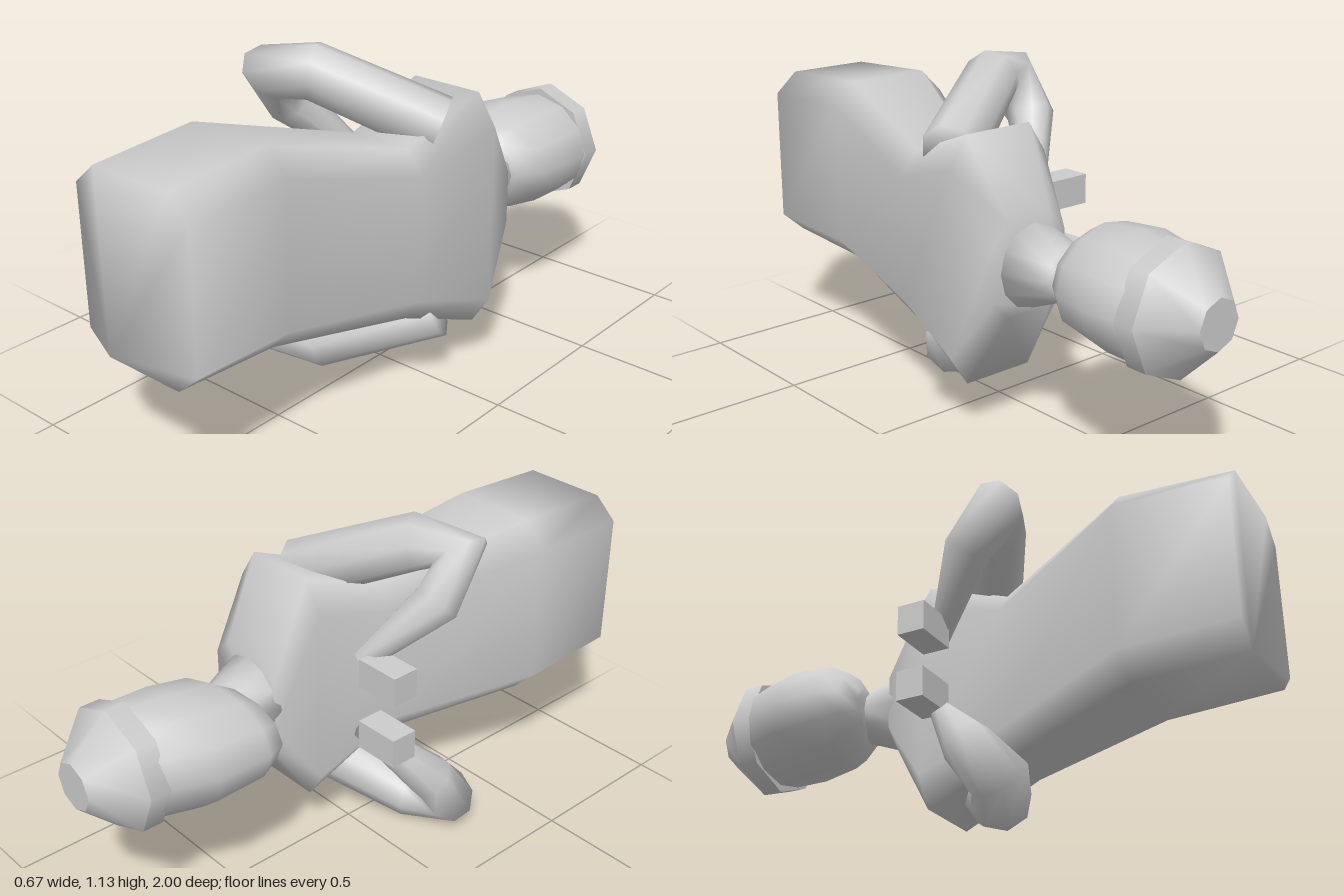
import * as THREE from 'three';

const MID_Y = 0.567; // mirror plane of the lying figure

// Closed, smooth surface through rings of equal point count
function loft(rings) {
  const n = rings[0].length, pos = [], idx = [];
  rings.forEach((r) => r.forEach((p) => pos.push(p.x, p.y, p.z)));
  for (let i = 0; i < rings.length - 1; i++) {
    for (let j = 0; j < n; j++) {
      const a = i * n + j, b = i * n + (j + 1) % n;
      idx.push(a, b, b + n, a, b + n, a + n);
    }
  }
  const last = (rings.length - 1) * n;
  for (let j = 1; j < n - 1; j++) {
    idx.push(0, j + 1, j);
    idx.push(last, last + j, last + j + 1);
  }
  // turn the faces outward if the signed volume is negative
  let volume = 0;
  const at = (k) => new THREE.Vector3().fromArray(pos, k * 3);
  for (let i = 0; i < idx.length; i += 3) {
    volume += at(idx[i]).dot(at(idx[i + 1]).cross(at(idx[i + 2])));
  }
  if (volume < 0) idx.reverse();
  const g = new THREE.BufferGeometry();
  g.setAttribute('position', new THREE.Float32BufferAttribute(pos, 3));
  g.setIndex(idx);
  g.computeVertexNormals();
  return g;
}

// Bevelled rectangle across the length of the body
function bevelRing(z, x0, x1, y0, y1, bx, by) {
  return [
    [x0 + bx, y0], [x1 - bx, y0], [x1, y0 + by], [x1, y1 - by],
    [x1 - bx, y1], [x0 + bx, y1], [x0, y1 - by], [x0, y0 + by],
  ].map(([x, y]) => new THREE.Vector3(x, y, z));
}

// Tilted ellipse given by its front and back points and its half width
function tiltRing(x0, z0, x1, z1, half) {
  return Array.from({ length: 12 }, (_, i) => {
    const a = (i / 12) * Math.PI * 2, t = (1 - Math.cos(a)) / 2;
    return new THREE.Vector3(x0 + (x1 - x0) * t, MID_Y + half * Math.sin(a), z0 + (z1 - z0) * t);
  });
}

// Octagonal rings along a path, each square to the averaged direction
function limbRings(points, radii) {
  const p = points.map((a) => new THREE.Vector3(...a));
  const side = new THREE.Vector3(0, 0, 1);
  return p.map((c, i) => {
    const before = c.clone().sub(p[Math.max(i - 1, 0)]).normalize();
    const after = p[Math.min(i + 1, p.length - 1)].clone().sub(c).normalize();
    const dir = before.add(after).normalize();
    side.addScaledVector(dir, -side.dot(dir)).normalize();
    const up = dir.clone().cross(side);
    return Array.from({ length: 8 }, (_, k) => {
      const a = (k / 8) * Math.PI * 2;
      return c.clone()
        .addScaledVector(side, Math.cos(a) * radii[i])
        .addScaledVector(up, Math.sin(a) * radii[i]);
    });
  });
}

export function createModel() {
  const model = new THREE.Group();
  model.name = 'recliningFigure';
  const grey = new THREE.MeshStandardMaterial({ color: 0xcccccc });
  grey.name = 'pale grey';
  const add = (name, geometry) => {
    const mesh = new THREE.Mesh(geometry, grey);
    mesh.name = name;
    model.add(mesh);
    return mesh;
  };

  // Torso from hips to collar
  add('torso', loft([
    bevelRing(1, -0.255, 0.2, 0.37, 0.97, 0.08, 0.07),
    bevelRing(0.63, -0.26, 0.2, 0.35, 0.99, 0.08, 0.08),
    bevelRing(0.14, -0.05, 0.285, 0.28, 0.86, 0.06, 0.08),
    bevelRing(-0.16, -0.05, 0.335, 0.165, 0.972, 0.065, 0.1),
    bevelRing(-0.31, 0, 0.29, 0.42, 0.72, 0.06, 0.06),
  ]));

  // Neck and head
  add('neck', loft([
    tiltRing(-0.01, -0.29, 0.27, -0.29, 0.145),
    tiltRing(0, -0.41, 0.2, -0.45, 0.09),
    tiltRing(0.01, -0.5, 0.18, -0.5, 0.08),
  ]));
  add('head', loft([
    tiltRing(-0.08, -0.385, 0.16, -0.455, 0.075),
    tiltRing(-0.16, -0.41, 0.21, -0.48, 0.125),
    tiltRing(-0.19, -0.48, 0.26, -0.55, 0.168),
    tiltRing(-0.185, -0.66, 0.28, -0.67, 0.188),
    tiltRing(-0.13, -0.8, 0.278, -0.8, 0.182),
    tiltRing(-0.1, -0.84, 0.25, -0.84, 0.165),
  ]));

  // Hat: straight band and tapered crown
  const hat = [['hatBand', 0.207, 0.07, -0.835], ['hatCrown', 0.08, 0.13, -0.935]];
  for (const [name, top, height, z] of hat) {
    const g = new THREE.CylinderGeometry(top, 0.207, height, 8);
    g.rotateX(-Math.PI / 2);
    add(name, g).position.set(0.076, MID_Y, z);
  }

  // Bent arms with a small block at each hand
  const path = [
    [0.22, 0.25, -0.03], [-0.12, 0.092, 0.175], [-0.25, 0.105, 0.24],
    [-0.26, 0.235, 0.135], [-0.115, 0.44, -0.045],
  ];
  for (const [side, s] of [['right', -1], ['left', 1]]) {
    const points = path.map(([x, y, z]) => [x, MID_Y + s * (MID_Y - y), z]);
    add(side + 'Arm', loft(limbRings(points, [0.1, 0.094, 0.094, 0.08, 0.035])));
    add(side + 'HandBlock', new THREE.BoxGeometry(0.16, 0.1, 0.095))
      .position.set(-0.228, MID_Y + s * 0.114, -0.04);
  }
  return model;
}
